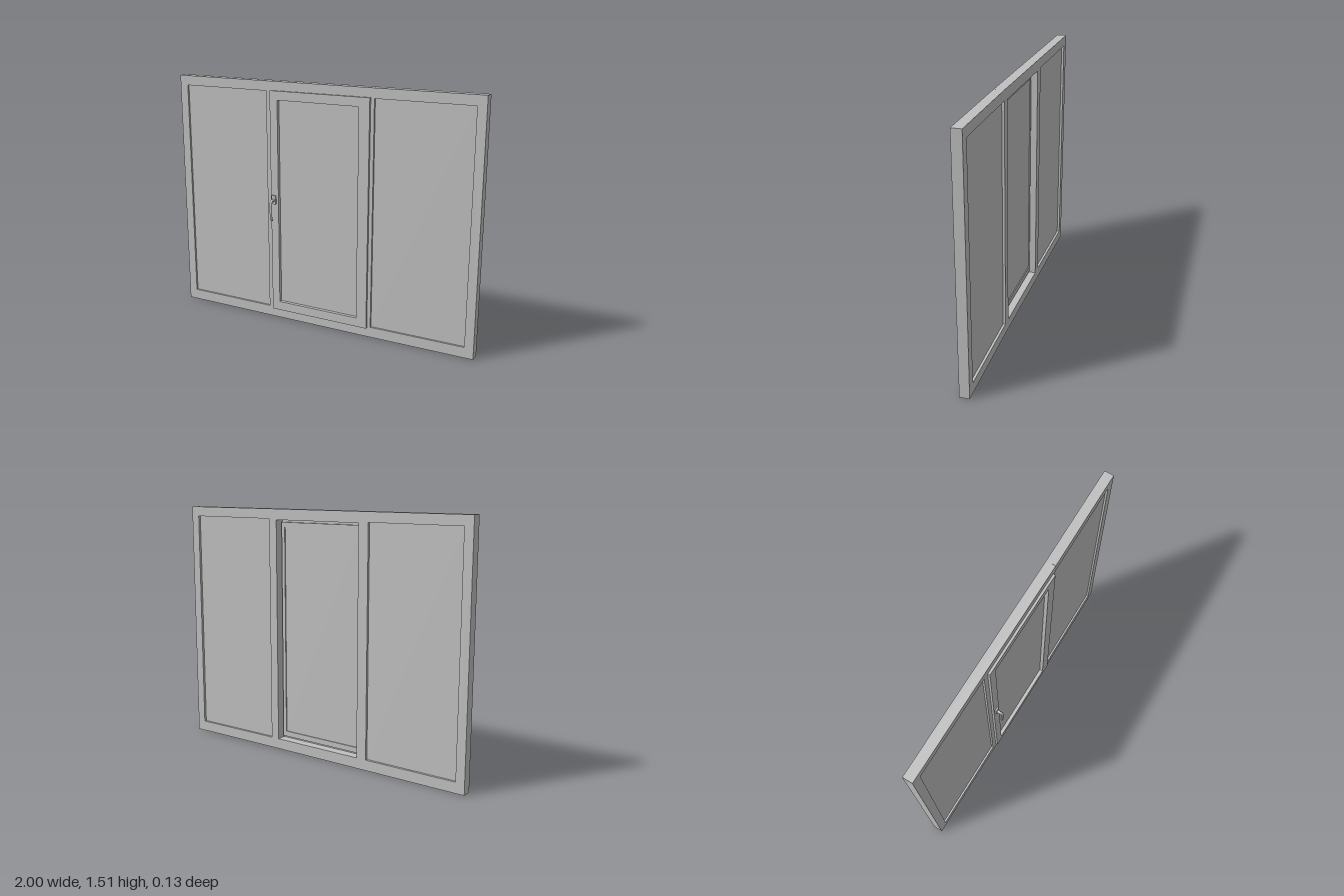
import * as THREE from 'three';

const grey = new THREE.MeshStandardMaterial({ color: 0xc0c0c0 });
grey.name = 'window grey';

const BACK = -0.055, DEPTH = 0.059, HEIGHT = 1.51;
const BEND = 0.355; // x where the right bay starts to angle back

function add(parent, name, geometry, x = 0, y = 0, z = 0) {
  const mesh = new THREE.Mesh(geometry, grey);
  mesh.name = name;
  mesh.position.set(x, y, z);
  parent.add(mesh);
  return mesh;
}

function outline(points, Type = THREE.Shape) {
  return new Type(points.map(([x, y]) => new THREE.Vector2(x, y)));
}

function rect(x0, x1, y0, y1, Type) {
  return outline([[x0, y0], [x1, y0], [x1, y1], [x0, y1]], Type);
}

// Rectangular border: outer and inner bounds as [x0, x1, y0, y1]
function border(outer, inners, depth) {
  const shape = rect(...outer);
  inners.forEach((b) => shape.holes.push(rect(...b, THREE.Path)));
  return new THREE.ExtrudeGeometry(shape, { depth, bevelEnabled: false });
}

function slab(x0, x1, y0, y1, z0, z1) {
  return new THREE.BoxGeometry(x1 - x0, y1 - y0, z1 - z0)
    .translate((x0 + x1) / 2, (y0 + y1) / 2, (z0 + z1) / 2);
}

export function createModel() {
  const model = new THREE.Group();
  model.name = 'window';

  // Straight part of the frame with the fixed left bay and the sash opening
  const leftBay = [-0.945, -0.36, 0.065, 1.45];
  const opening = [-0.295, 0.3, 0.065, 1.445];
  add(model, 'mainFrame', border([-1, BEND, 0, HEIGHT], [leftBay, opening], DEPTH), 0, 0, BACK);
  add(model, 'leftPane', slab(...leftBay, -0.04, -0.008));

  // Right bay, turned slightly back around the mullion
  const rightBay = new THREE.Group();
  rightBay.name = 'rightBay';
  rightBay.position.set(BEND, 0, BACK);
  rightBay.rotation.y = Math.atan(0.007 / 0.645);
  const w = 1 - BEND, inner = w - 0.055;
  const cShape = outline([
    [0, 0], [w, 0], [w, HEIGHT], [0, HEIGHT],
    [0, 1.45], [inner, 1.45], [inner, 0.065], [0, 0.065],
  ]);
  add(rightBay, 'rightFrame', new THREE.ExtrudeGeometry(cShape, { depth: DEPTH, bevelEnabled: false }));
  add(rightBay, 'rightPane', slab(0, inner, 0.065, 1.45, 0.015, 0.047));
  model.add(rightBay);

  // Opening sash: front flange overlapping the frame, and a body inside the opening
  const sash = new THREE.Group();
  sash.name = 'sash';
  const light = [-0.275, 0.265, 0.113, 1.4];
  add(sash, 'sashFlange', border([-0.327, 0.333, 0.057, 1.455], [light], 0.014), 0, 0, 0.004);
  add(sash, 'sashBody', border([-0.285, 0.288, 0.08, 1.43], [light], 0.022), 0, 0, -0.018);
  add(sash, 'sashPane', slab(...light, -0.012, -0.004));
  model.add(sash);

  // Handle: backplate, neck and a flattened grip hooked at the tip
  const handle = new THREE.Group();
  handle.name = 'handle';
  handle.position.set(-0.304, 0, 0);
  add(handle, 'handlePlate', slab(-0.0135, 0.0135, 0.757, 0.812, 0.018, 0.029));
  add(handle, 'handleNeck', new THREE.CylinderGeometry(0.008, 0.009, 0.02, 20).rotateX(Math.PI / 2), 0, 0.782, 0.037);
  const path = new THREE.CatmullRomCurve3([
    [0.783, 0.03], [0.783, 0.05], [0.776, 0.058], [0.763, 0.0605],
    [0.72, 0.0605], [0.68, 0.06], [0.664, 0.057], [0.66, 0.051],
  ].map(([y, z]) => new THREE.Vector3(0, y, z)));
  add(handle, 'handleGrip', new THREE.TubeGeometry(path, 40, 0.0045, 12).scale(1.9, 1, 1));
  add(handle, 'handleTip', new THREE.SphereGeometry(0.0045, 12, 8).scale(1.9, 1, 1), 0, 0.66, 0.051);
  model.add(handle);

  return model;
}
